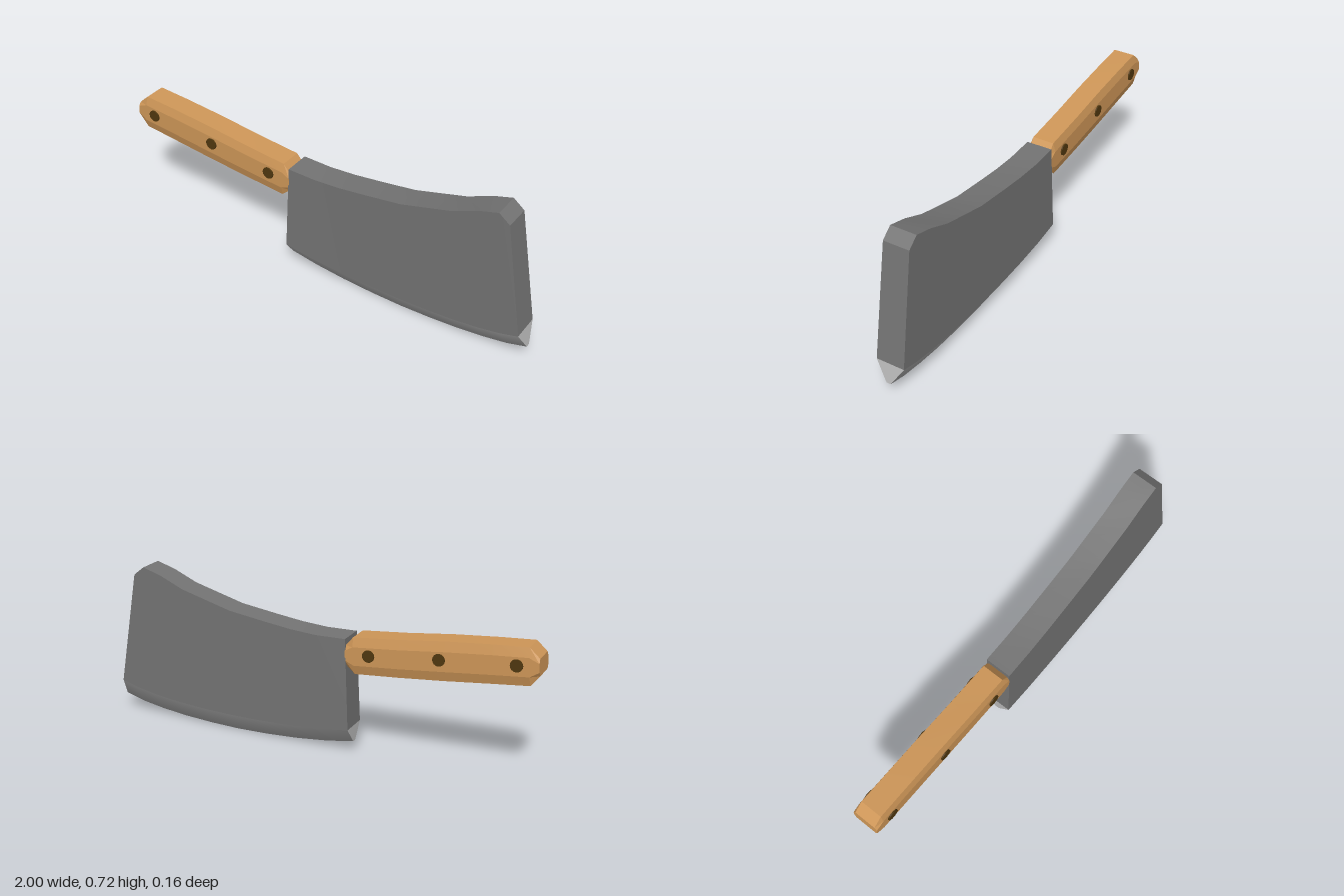
import * as THREE from 'three';
import { toCreasedNormals } from 'three/addons/utils/BufferGeometryUtils.js';

// Skin a row of closed cross-sections running along +x, with both ends capped.
// Each section goes counter-clockwise as seen from +x.
function loft(sections, crease) {
  const n = sections[0].length, index = [];
  for (let i = 0; i < sections.length - 1; i++) {
    for (let j = 0; j < n; j++) {
      const k = (j + 1) % n;
      const a = i * n + j, b = a + n, c = (i + 1) * n + k, d = i * n + k;
      index.push(a, d, c, a, c, b);
    }
  }
  const end = (sections.length - 1) * n;
  for (let j = 1; j < n - 1; j++) {
    index.push(0, j + 1, j);
    index.push(end, end + j, end + j + 1);
  }
  const geometry = new THREE.BufferGeometry();
  geometry.setAttribute('position', new THREE.Float32BufferAttribute(sections.flat(2), 3));
  geometry.setIndex(index);
  return toCreasedNormals(geometry, crease);
}

// Four-cornered section between an upper and a lower point
const slab = ([x1, y1], h1, [x2, y2], h2) =>
  [[x1, y1, -h1], [x1, y1, h1], [x2, y2, h2], [x2, y2, -h2]];

export function createModel() {
  const group = new THREE.Group();
  const material = (color) => new THREE.MeshStandardMaterial({ color });
  const add = (name, geometry, mat) => {
    const mesh = new THREE.Mesh(geometry, mat);
    mesh.name = name;
    group.add(mesh);
    return mesh;
  };

  // Matching points along the spine, the top of the bevel and the cutting edge
  const spine = [[-0.157, 0.535], [-0.02, 0.532], [0.1, 0.54], [0.22, 0.555], [0.4, 0.58],
    [0.5, 0.607], [0.64, 0.645], [0.75, 0.693], [0.84, 0.72], [0.89, 0.68]];
  const shoulder = [[-0.175, 0.122], [-0.04, 0.103], [0.1, 0.093], [0.25, 0.088], [0.4, 0.087],
    [0.54, 0.091], [0.68, 0.101], [0.8, 0.116], [0.9, 0.135], [0.98, 0.158]];
  const edge = [[-0.178, 0.05], [-0.05, 0.028], [0.1, 0.012], [0.25, 0.003], [0.4, 0],
    [0.54, 0.004], [0.68, 0.013], [0.8, 0.027], [0.91, 0.046], [1.0, 0.072]];

  // Blade body and ground bevel
  add('blade', loft(spine.map((p, i) => slab(p, 0.06, shoulder[i], 0.065)), 0.4), material(0x747474));
  add('cuttingBevel', loft(shoulder.map((p, i) => slab(p, 0.065, edge[i], 0.01)), 1.05), material(0xb8b8b8));

  // Handle: eight-sided stations of [x top, top, x bottom, bottom]
  const stations = [
    [-0.995, 0.58, -1.0, 0.508], [-0.95, 0.621, -0.962, 0.46], [-0.8, 0.61, -0.8, 0.442],
    [-0.6, 0.591, -0.6, 0.419], [-0.4, 0.566, -0.4, 0.399], [-0.19, 0.545, -0.2, 0.382],
    [-0.157, 0.505, -0.157, 0.42],
  ];
  const handleSections = stations.map(([xt, top, xb, bottom]) => {
    const at = (t, z) => [xt + (xb - xt) * t, top + (bottom - top) * t, z];
    return [at(0, -0.05), at(0, 0.05), at(0.25, 0.061), at(0.75, 0.061),
      at(1, 0.05), at(1, -0.05), at(0.75, -0.061), at(0.25, -0.061)];
  });
  add('handle', loft(handleSections, 0.15), material(0xcf9758));

  // Rivets run right through the handle
  const rivetGeometry = new THREE.CylinderGeometry(0.027, 0.027, 0.134, 16).rotateX(Math.PI / 2);
  const rivetMaterial = material(0x50380f);
  for (const [x, y] of [[-0.905, 0.541], [-0.578, 0.511], [-0.266, 0.476]]) {
    add('rivet', rivetGeometry, rivetMaterial).position.set(x, y, 0);
  }

  // The whole tool is turned very slightly
  group.rotation.y = 0.0125;
  group.name = 'cleaver';
  return group;
}
